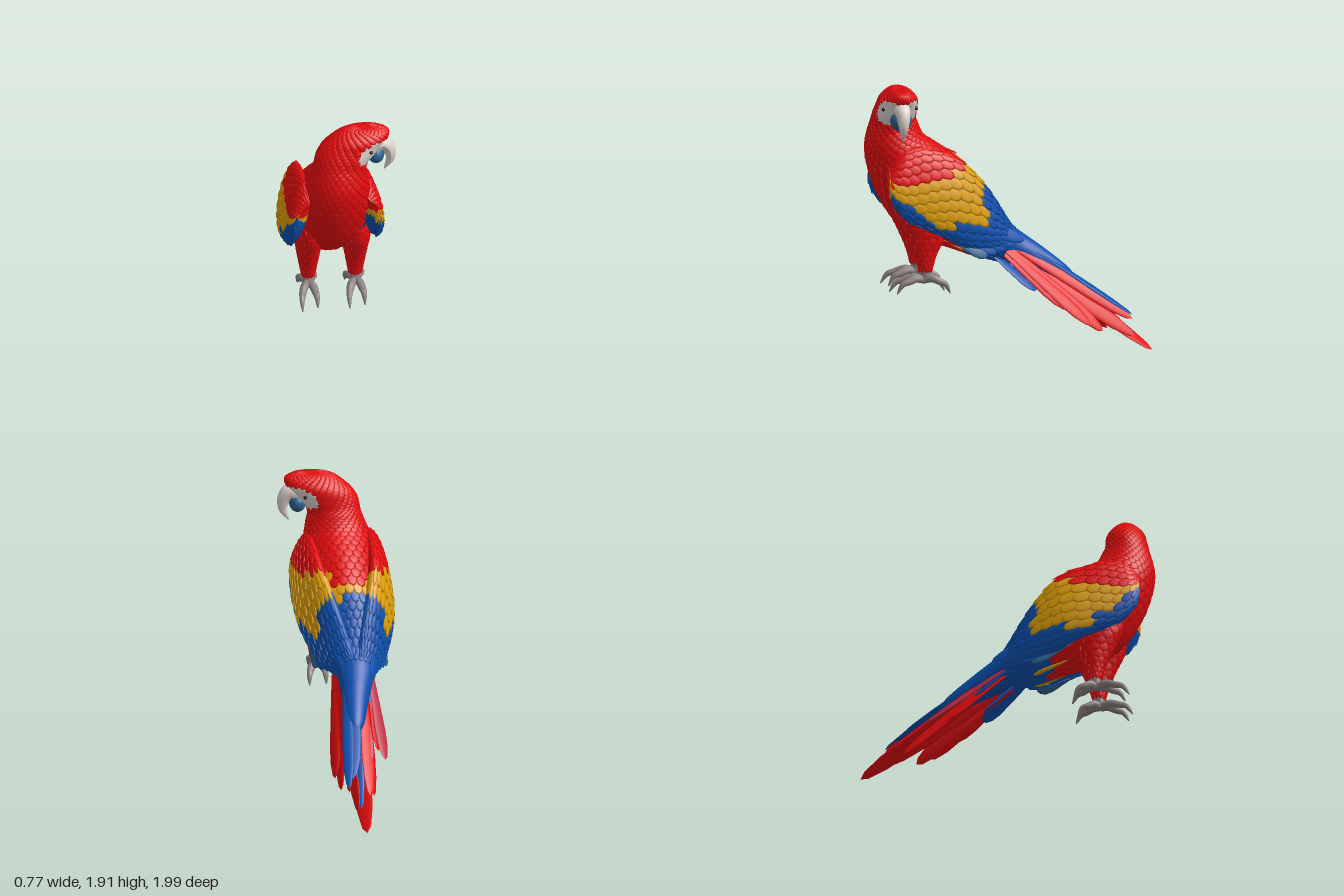
import * as THREE from 'three';
import { mergeGeometries } from 'three/addons/utils/BufferGeometryUtils.js';

const V = (x, y, z) => new THREE.Vector3(x, y, z);
const paint = (name, color) => { const m = new THREE.MeshStandardMaterial({ color }); m.name = name; return m; };

// Spine line: the body swings slightly sideways towards the tail
const axis = z => -0.035 - 0.07 * (0.65 - z);

// Smooth surface through rings [centreX, halfWidth, backY, backZ, frontY, frontZ]
function surface(rings, lean = 0) {
  const back = new THREE.CatmullRomCurve3(rings.map(r => V(r[0], r[2], r[3])));
  const front = new THREE.CatmullRomCurve3(rings.map(r => V(r[1], r[4], r[5])));
  return (u, t) => {
    const b = back.getPoint(t), f = front.getPoint(t), s = Math.sin(u), k = (1 + s) / 2;
    return V(b.x + f.x * Math.cos(u) + lean * s, f.y + (b.y - f.y) * k, f.z + (b.z - f.z) * k);
  };
}

// Skin over a surface, with one material group per plumage colour
function skin(S, nu, nt, colourAt, mats) {
  const pos = [], buckets = {};
  for (let i = 0; i <= nt; i++) for (let j = 0; j < nu; j++) pos.push(...S(j / nu * Math.PI * 2, i / nt).toArray());
  for (let i = 0; i < nt; i++) for (let j = 0; j < nu; j++) {
    const u = (j + 0.5) / nu * Math.PI * 2, key = colourAt(S(u, (i + 0.5) / nt), u);
    const a = i * nu + j, b = i * nu + (j + 1) % nu;
    (buckets[key] ??= []).push(a, b, a + nu, b, b + nu, a + nu);
  }
  const g = new THREE.BufferGeometry(), index = [], list = [];
  for (const key in buckets) {
    g.addGroup(index.length, buckets[key].length, list.length);
    for (const n of buckets[key]) index.push(n);
    list.push(mats[key]);
  }
  g.setAttribute('position', new THREE.Float32BufferAttribute(pos, 3));
  g.setIndex(index);
  g.computeVertexNormals();
  return new THREE.Mesh(g, list);
}

// Overlapping scale feathers in staggered rows on a surface, gathered by colour
function plumage(S, rows, cols, t0, t1, colourAt, keep, mats, name) {
  const unit = new THREE.SphereGeometry(1, 8, 4), sets = {}, group = new THREE.Group();
  for (let i = 0; i < rows; i++) for (let j = 0; j < cols; j++) {
    const t = t0 + (t1 - t0) * i / (rows - 1), u = (j + (i % 2) / 2) / cols * Math.PI * 2, e = 0.004;
    const p = S(u, t), du = S(u + e, t).sub(S(u - e, t)), dt = S(u, t + e).sub(S(u, t - e));
    const n = du.clone().cross(dt).normalize();
    const key = colourAt(p, u);
    if (key === 'face' || !keep(n)) continue;
    const w = du.length() / (2 * e) * Math.PI * 2 / cols * 0.56;
    const len = Math.min(0.1, dt.length() / (2 * e) * (t1 - t0) / rows * 0.95);
    const z = dt.normalize().negate().addScaledVector(n, 0.07).normalize();
    const x = n.clone().cross(z).normalize(), y = z.clone().cross(x);
    const m = new THREE.Matrix4().makeBasis(x, y, z).scale(V(w, 0.006, len)).setPosition(p);
    (sets[key] ??= []).push(unit.clone().applyMatrix4(m));
  }
  for (const key in sets) {
    const mesh = new THREE.Mesh(mergeGeometries(sets[key]), mats[key]);
    mesh.name = name + ' ' + key;
    group.add(mesh);
  }
  group.name = name;
  return group;
}

// Long flat feather from a to b, lying across the given normal
const bladeProfile = [[0, 0], [0.5, 0.01], [0.75, 0.3], [1, 0.68], [0.9, 0.84], [0.5, 0.96], [0, 1]].map(p => new THREE.Vector2(...p));
function blade(a, b, halfWidth, normal, mat, name) {
  const y = b.clone().sub(a), len = y.length();
  y.normalize();
  const x = y.clone().cross(normal).normalize(), z = x.clone().cross(y);
  const g = new THREE.LatheGeometry(bladeProfile, 12);
  g.applyMatrix4(new THREE.Matrix4().makeBasis(x, y, z).scale(V(halfWidth, len, 0.011)).setPosition(a));
  const mesh = new THREE.Mesh(g, mat);
  mesh.name = name;
  return mesh;
}

// Tapered tube for beak, toes and claws
function horn(points, r0, r1, mat, name, power = 1) {
  const curve = new THREE.CatmullRomCurve3(points), n = 18, k = 10;
  const g = new THREE.TubeGeometry(curve, n, 1, k), p = g.attributes.position;
  for (let i = 0; i <= n; i++) for (let j = 0; j <= k; j++) {
    const c = curve.getPointAt(i / n), q = i * (k + 1) + j;
    const v = V().fromBufferAttribute(p, q).sub(c).multiplyScalar(r1 + (r0 - r1) * (1 - (i / n) ** power)).add(c);
    p.setXYZ(q, v.x, v.y, v.z);
  }
  g.computeVertexNormals();
  const mesh = new THREE.Mesh(g, mat);
  mesh.name = name;
  return mesh;
}

function ball(c, r, mat, name) {
  const mesh = new THREE.Mesh(new THREE.SphereGeometry(1, 24, 16), mat);
  mesh.position.copy(c);
  mesh.scale.copy(r);
  mesh.name = name;
  return mesh;
}

// Red shoulders, a yellow band, then blue; the band is narrower over the spine
function wingColour({ x, y, z }) {
  const j = 0.015 * Math.sin(z * 47 + x * 31), off = Math.abs(x - axis(z)), spine = off < 0.13;
  if (y > 1.27 + 0.27 * Math.max(0, 0.6 - z) + j - (spine ? 0.05 : 0)) return 'red';
  const edge = off < 0.25 && z > 0.6 ? 1.22 : z > 0.6 ? 1 + (z - 0.6) * 0.8 : 0.96;
  return y > edge + j && z > (spine ? 0.235 : 0.2) + j ? 'yellow' : 'blue';
}
function bodyColour(p, u) {
  const { x, y, z } = p;
  if (x > 0.115 && ((x - 0.25) / 0.145) ** 2 + ((y - 1.733) / 0.1) ** 2 < 1) return 'face';
  if (Math.sin(u) > -0.1 && z < 0.6 && y < 1.5) return wingColour(p);
  return z < 0.3 ? 'blue' : 'red';
}

export function createModel() {
  const mats = {
    red: paint('red plumage', 0xe60c0e), yellow: paint('yellow plumage', 0xde9f06), blue: paint('blue plumage', 0x0b50ae),
    crimson: paint('crimson plumage', 0xbc2a42), face: paint('bare face skin', 0xe0d9d4), beak: paint('pale beak', 0xe0d6cd),
    jaw: paint('slate blue', 0x2d628f), foot: paint('grey foot skin', 0x8f8583), pupil: paint('dark eye', 0x2a2624),
  };
  const model = new THREE.Group();
  const all = () => true;

  // Body, neck and head in one skin, from tail root to crown
  const body = surface([
    [-0.05, 0.004, 0.52, -0.47, 0.51, -0.47], [-0.05, 0.055, 0.59, -0.42, 0.5, -0.38], [-0.065, 0.09, 0.74, -0.24, 0.57, -0.18],
    [-0.08, 0.12, 0.85, -0.09, 0.63, -0.02], [-0.083, 0.145, 0.93, 0.01, 0.66, 0.1], [-0.078, 0.18, 1.08, 0.11, 0.7, 0.24],
    [-0.07, 0.215, 1.22, 0.2, 0.76, 0.4], [-0.05, 0.24, 1.34, 0.31, 0.83, 0.6], [-0.04, 0.25, 1.43, 0.42, 0.98, 0.79],
    [-0.03, 0.24, 1.5, 0.52, 1.18, 0.91], [-0.02, 0.22, 1.55, 0.59, 1.36, 0.97], [-0.01, 0.195, 1.6, 0.62, 1.48, 0.985],
    [-0.003, 0.177, 1.64, 0.635, 1.58, 0.97], [0.01, 0.18, 1.67, 0.65, 1.65, 0.95], [0.045, 0.2, 1.72, 0.655, 1.72, 0.935],
    [0.085, 0.203, 1.78, 0.655, 1.78, 0.92], [0.13, 0.196, 1.83, 0.665, 1.83, 0.91], [0.155, 0.172, 1.87, 0.695, 1.87, 0.88],
    [0.16, 0.115, 1.897, 0.73, 1.897, 0.845], [0.16, 0.004, 1.912, 0.785, 1.912, 0.79],
  ]);
  const bodySkin = skin(body, 56, 130, bodyColour, mats);
  bodySkin.name = 'body and head';
  model.add(bodySkin, plumage(body, 42, 24, 0.19, 0.97, bodyColour, all, mats, 'body feathers'));

  // Folded wings; the right shoulder sits a little further forward
  const wingRings = [
    [0.05, 0.005, 0.79, -0.12, 0.77, -0.11], [0.07, 0.04, 0.87, -0.05, 0.74, -0.01], [0.095, 0.065, 0.95, 0.01, 0.74, 0.07],
    [0.135, 0.08, 1.09, 0.1, 0.74, 0.19], [0.185, 0.085, 1.25, 0.22, 0.79, 0.33], [0.23, 0.08, 1.39, 0.37, 0.87, 0.47],
    [0.245, 0.075, 1.46, 0.52, 0.94, 0.61], [0.247, 0.07, 1.49, 0.66, 1.01, 0.75], [0.245, 0.055, 1.47, 0.77, 1.14, 0.85],
    [0.24, 0.005, 1.38, 0.86, 1.3, 0.87],
  ];
  for (const side of [-1, 1]) {
    const name = side > 0 ? 'left wing' : 'right wing';
    const S = surface(wingRings.map(([off, w, by, bz, fy, fz]) => {
      const shift = side < 0 && bz > 0.5 ? 0.04 : 0;
      return [axis(bz) + side * off, w, by, bz + shift, fy, fz + shift];
    }), -side * 0.045);
    const wing = skin(S, 48, 70, wingColour, mats);
    wing.name = name;
    model.add(wing, plumage(S, 17, 22, 0.08, 0.95, wingColour, n => n.x * side > -0.25, mats, name + ' coverts'));
    for (let k = 0; k < 5; k++) {
      const z = -0.1 + 0.07 * k;
      model.add(blade(V(axis(0.4) + side * 0.24, 1.0 - 0.03 * k, 0.36 + 0.02 * k),
        V(axis(z) + side * (0.1 + 0.033 * k), 0.8 - 0.018 * k, z), 0.05, V(side, 0.5, -0.2), mats[k < 4 ? 'blue' : 'jaw'], name + ' flight feather'));
    }
  }

  // Tail, a steep roof of feathers: [start, tip, half width, sideways roll, colour]
  const tail = [
    [[-0.06, 0.88, 0.02], [0, 0.31, -0.77], 0.06, 0.1, 'blue'], [[-0.02, 0.87, 0.02], [0.03, 0.27, -0.84], 0.04, 0.3, 'blue'],
    [[-0.07, 0.83, 0], [-0.05, 0.13, -0.87], 0.035, 0.3, 'blue'], [[0.03, 0.8, 0.03], [0.025, 0.24, -0.84], 0.045, 1.6, 'red'],
    [[-0.05, 0.76, 0], [-0.08, 0.005, -0.995], 0.068, 0.55, 'red'], [[0.03, 0.74, 0.03], [-0.03, 0.11, -0.87], 0.055, 1.6, 'red'],
    [[-0.12, 0.82, 0], [-0.12, 0.19, -0.8], 0.05, -0.5, 'red'], [[-0.14, 0.78, 0.02], [-0.15, 0.15, -0.7], 0.05, -1.2, 'red'],
    [[-0.1, 0.72, -0.1], [-0.11, 0.32, -0.63], 0.06, -0.1, 'crimson'],
    [[0.05, 0.77, 0.03], [0.065, 0.17, -0.63], 0.055, 1.5, 'red'], [[0.06, 0.75, 0.03], [0.1, 0.22, -0.54], 0.05, 1.2, 'red'],
    [[0.05, 0.72, 0.04], [0.08, 0.33, -0.38], 0.045, 1.2, 'red'],
    [[-0.18, 0.78, 0.04], [-0.24, 0.34, -0.53], 0.048, -0.7, 'crimson'], [[-0.17, 0.74, 0.03], [-0.2, 0.36, -0.42], 0.045, -1.2, 'red'],
    [[-0.18, 0.78, 0.06], [-0.19, 0.54, -0.22], 0.035, -0.4, 'blue'],
    [[-0.08, 0.7, 0.08], [-0.1, 0.47, -0.16], 0.05, -0.4, 'blue'], [[0, 0.7, 0.1], [0.04, 0.46, -0.18], 0.055, 0.6, 'blue'],
    [[-0.05, 0.7, 0.1], [-0.04, 0.5, -0.16], 0.03, 0, 'red'],
  ];
  for (const [a, b, w, roll, c] of tail) model.add(blade(V(...a), V(...b), w, V(roll, 0.8, -0.5), mats[c], 'tail feather'));

  // Mixed tuft under the vent
  for (let k = 0; k < 5; k++) {
    const x = -0.16 + 0.045 * k;
    model.add(blade(V(x, 0.8, 0.42), V(x, 0.7, 0.18), 0.035, V(0, 1, 0.3), mats[k % 2 ? 'jaw' : 'yellow'], 'vent feather'));
  }

  // Face: eyes, hooked beak and lower jaw
  for (const s of [-1, 1]) model.add(ball(V(0.2, 1.765, 0.788 + s * 0.112), V(0.013, 0.013, 0.012), mats.pupil, 'eye'));
  model.add(horn([V(0.22, 1.75, 0.788), V(0.29, 1.772, 0.788), V(0.332, 1.73, 0.788), V(0.345, 1.65, 0.788), V(0.302, 1.56, 0.788)],
    0.058, 0.003, mats.beak, 'upper beak', 1.9));
  model.add(ball(V(0.245, 1.69, 0.788), V(0.058, 0.068, 0.075), mats.jaw, 'lower jaw'));

  // Legs and gripping feet, two toes forward and two back
  const legRings = [[0.045, 0.65, 0.555, 0.65, 0.645], [0.06, 0.74, 0.53, 0.74, 0.67], [0.08, 0.86, 0.48, 0.86, 0.72],
    [0.095, 1, 0.47, 0.97, 0.77], [0.07, 1.1, 0.52, 1.08, 0.79]];
  for (const [x, name] of [[-0.19, 'right'], [0.13, 'left']]) {
    const S = surface(legRings.map(r => [x, ...r])), red = () => 'red';
    const leg = skin(S, 28, 24, red, mats);
    leg.name = name + ' leg';
    model.add(leg, plumage(S, 11, 11, 0.02, 0.95, red, all, mats, name + ' leg feathers'));
    model.add(horn([V(x, 0.7, 0.6), V(x, 0.63, 0.6), V(x, 0.57, 0.615)], 0.042, 0.034, mats.foot, name + ' shank'));
    for (const [dx, z1, z2] of [[-0.055, 0.74, 0.835], [0.035, 0.72, 0.8], [-0.045, 0.53, 0.46], [0.05, 0.51, 0.44]]) {
      const mid = (z1 + 0.61) / 2;
      model.add(horn([V(x, 0.58, 0.61), V(x + dx * 0.6, 0.59, mid), V(x + dx, 0.57, z1), V(x + dx * 1.15, 0.555, (z1 + z2) / 2),
        V(x + dx * 1.2, 0.49, z2)], 0.029, 0.004, mats.foot, name + ' toe', 2.5));
    }
  }
  return model;
}
